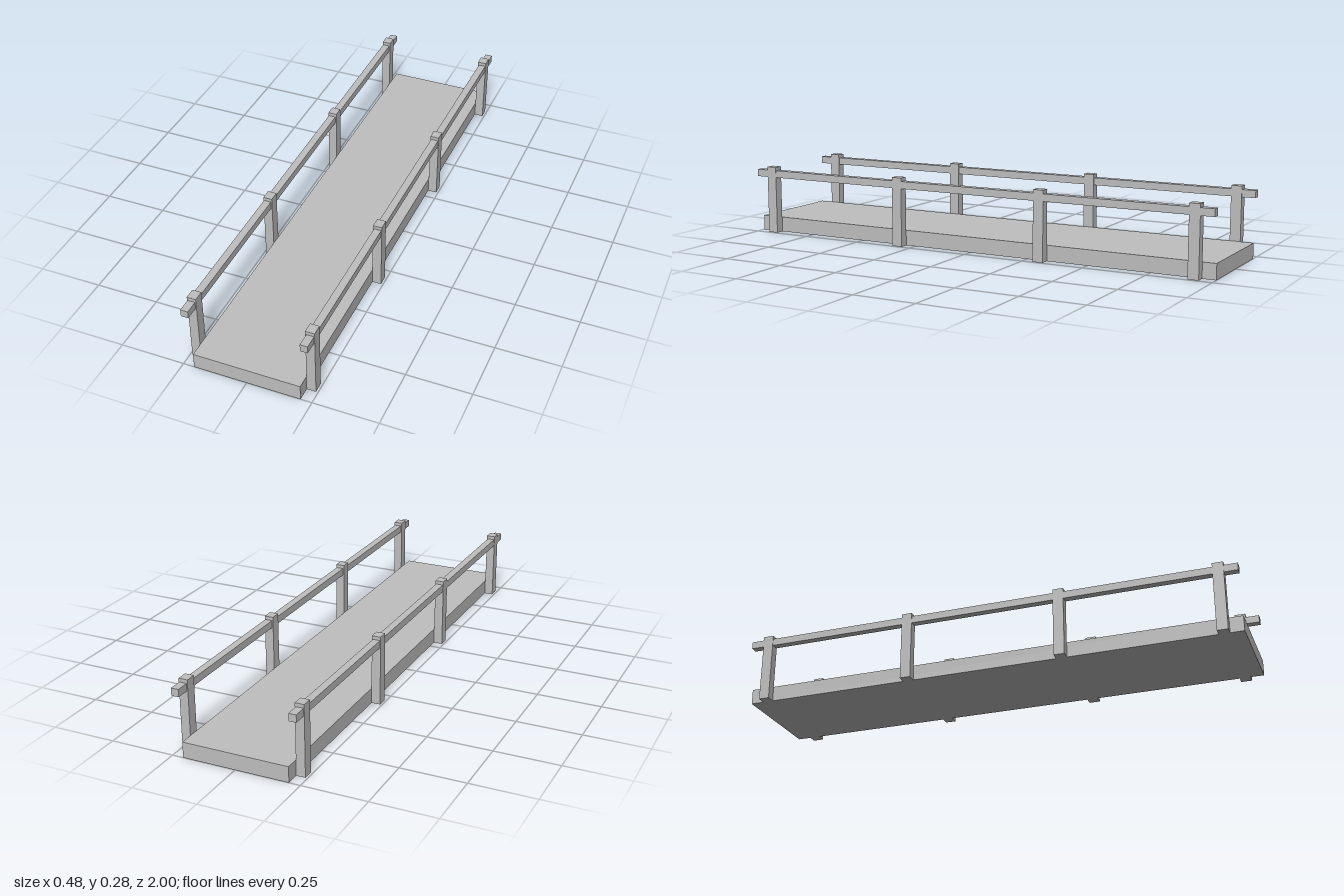
import * as THREE from 'three';

export function createModel() {
  const bridge = new THREE.Group();
  bridge.name = 'footbridge';
  const grey = new THREE.MeshStandardMaterial({ color: 0xbfbfbf });
  grey.name = 'grey';

  // Box resting on height y
  const addBox = (parent, name, [w, h, d], [x, y, z]) => {
    const mesh = new THREE.Mesh(new THREE.BoxGeometry(w, h, d), grey);
    mesh.name = name;
    mesh.position.set(x, y + h / 2, z);
    parent.add(mesh);
  };

  // Walkway slab
  addBox(bridge, 'deck', [0.414, 0.061, 2], [0, 0, 0]);

  // A railing on each side: four posts carrying one handrail
  for (const side of [-1, 1]) {
    const railing = new THREE.Group();
    railing.name = side > 0 ? 'leftRailing' : 'rightRailing';
    for (const z of [-0.926, -0.312, 0.312, 0.926]) {
      addBox(railing, 'post', [0.035, 0.275, 0.042], [side * 0.2245, 0, z]);
    }
    addBox(railing, 'handrail', [0.029, 0.029, 2], [side * 0.2255, 0.232, 0]);
    bridge.add(railing);
  }
  return bridge;
}
